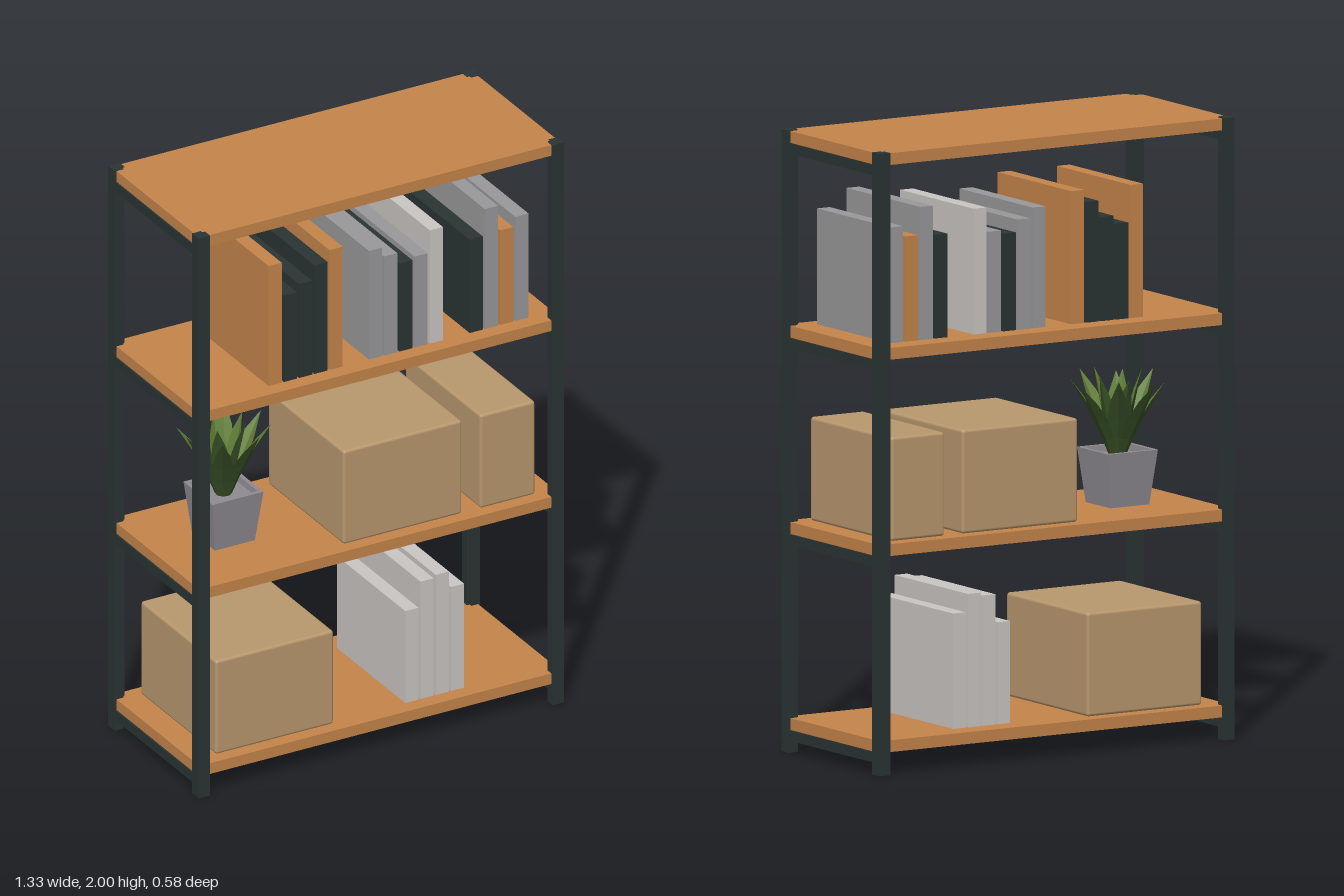
import * as THREE from 'three';
import { RoundedBoxGeometry } from 'three/addons/geometries/RoundedBoxGeometry.js';

function material(name, color, side = THREE.FrontSide) {
  const m = new THREE.MeshStandardMaterial({ color, side });
  m.name = name;
  return m;
}

export function createModel() {
  const wood = material('wood', 0xc4844a);
  const metal = material('dark metal', 0x2a3433);
  const cardboard = material('cardboard', 0xb8976d);
  const grey = material('grey', 0x98989a);
  const pale = material('pale grey', 0xc9c5c2);
  const clay = material('pot grey', 0x8e8b92);
  const leafDark = material('dark leaf', 0x3a5328);
  const leafLight = material('light leaf', 0x5f7d36);

  const model = new THREE.Group();
  model.name = 'shelvingUnit';

  function add(name, geometry, mat, x, y, z, parent = model) {
    const mesh = new THREE.Mesh(geometry, mat);
    mesh.name = name;
    mesh.position.set(x, y, z);
    parent.add(mesh);
    return mesh;
  }

  // Four square posts with a small notch on the inner corner
  const w = 0.042, n = 0.01;
  for (const sx of [-1, 1]) {
    for (const sz of [-1, 1]) {
      const corners = [[0, 0], [w, 0], [w, w - n], [w - n, w - n], [w - n, w], [0, w]]
        .map(([a, b]) => new THREE.Vector2(sx * (0.667 - a), -sz * (0.289 - b)));
      const geo = new THREE.ExtrudeGeometry(new THREE.Shape(corners), { depth: 2, bevelEnabled: false });
      geo.rotateX(-Math.PI / 2);
      add('post', geo, metal, 0, 0, 0);
    }
  }

  // Boards, each carried by a rail at both ends
  const shelfTops = [0.111, 0.741, 1.372, 1.998];
  for (const top of shelfTops) {
    add('shelfBoard', new THREE.BoxGeometry(1.32, 0.038, 0.564), wood, 0, top - 0.019, 0);
    for (const s of [-1, 1]) {
      add('sideRail', new THREE.BoxGeometry(0.034, 0.034, 0.52), metal, s * 0.648, top - 0.055, 0);
    }
  }

  // Rows of upright books: first centre, shelf height, then colour and top of each
  function bookRow(x0, base, books) {
    const row = new THREE.Group();
    row.name = 'bookRow';
    books.forEach(([mat, top], i) => {
      const h = top - base;
      add('book', new THREE.BoxGeometry(0.048, h, 0.435), mat, x0 + i * 0.0556, base + h / 2, 0.012, row);
    });
    model.add(row);
  }
  bookRow(-0.353, 1.372, [[wood, 1.8], [metal, 1.68], [metal, 1.707], [metal, 1.76], [wood, 1.8]]);
  bookRow(0.013, 1.372, [[grey, 1.76], [grey, 1.726], [metal, 1.686], [grey, 1.697], [pale, 1.776]]);
  bookRow(0.381, 1.372, [[metal, 1.705], [grey, 1.8], [wood, 1.71], [grey, 1.744]]);
  bookRow(0.146, 0.111, [[pale, 0.439], [pale, 0.53], [pale, 0.54], [pale, 0.482]]);

  // Cardboard boxes with softened edges
  for (const [x0, x1, base] of [[-0.577, -0.146, 0.111], [-0.111, 0.323, 0.741], [0.389, 0.59, 0.741]]) {
    const geo = new RoundedBoxGeometry(x1 - x0, 0.334, 0.482, 2, 0.01);
    add('cardboardBox', geo, cardboard, (x0 + x1) / 2, base + 0.167, 0.001);
  }

  // Potted plant
  const plant = new THREE.Group();
  plant.name = 'pottedPlant';
  plant.position.set(-0.411, 0.741, 0);
  model.add(plant);

  // Square tapered pot with a rim and a recessed filling
  const profile = [[0, 0], [0.073, 0], [0.093, 0.177], [0.079, 0.177], [0.077, 0.155], [0, 0.155]]
    .map(([r, y]) => new THREE.Vector2(r * Math.SQRT2, y));
  const potGeo = new THREE.LatheGeometry(profile, 4, Math.PI / 4).toNonIndexed();
  potGeo.computeVertexNormals();
  add('pot', potGeo, clay, 0, 0, 0, plant);

  // Folded leaf blade leaning out along +z, lighter on its inner face
  function leafGeometry(reach, height, width) {
    const widths = [0.4, 0.75, 1, 0.7, 0];
    const pos = [], inner = [], outer = [];
    widths.forEach((k, i) => {
      const t = i / (widths.length - 1);
      const z = 0.025 + (reach - 0.025) * Math.pow(t, 1.15);
      const y = 0.15 + (height - 0.15) * t;
      const half = k * width / 2;
      pos.push(-half, y, z - half * 0.45, 0, y, z, half, y, z - half * 0.45);
    });
    for (let i = 0; i < widths.length - 1; i++) {
      for (let j = 0; j < 2; j++) {
        const a = i * 3 + j, b = a + 1, c = a + 3, d = a + 4;
        outer.push(a, b, d, a, d, c);
        inner.push(a, d, b, a, c, d);
      }
    }
    const indexed = new THREE.BufferGeometry();
    indexed.setAttribute('position', new THREE.Float32BufferAttribute(pos, 3));
    indexed.setIndex([...outer, ...inner]);
    const geo = indexed.toNonIndexed();
    geo.computeVertexNormals();
    geo.addGroup(0, outer.length, 0);
    geo.addGroup(outer.length, inner.length, 1);
    return geo;
  }

  // Outer and inner rings: count, reach, height, width, turn
  for (const [count, reach, height, width, turn] of [[8, 0.165, 0.415, 0.07, 0.25], [5, 0.085, 0.432, 0.062, 0.5]]) {
    for (let i = 0; i < count; i++) {
      const geo = leafGeometry(reach * (i % 2 ? 0.92 : 1), height - (i % 3) * 0.012, width);
      const leaf = add('leaf', geo, [leafDark, leafLight], 0, 0, 0, plant);
      leaf.rotation.y = turn + (i / count) * Math.PI * 2;
    }
  }

  return model;
}
